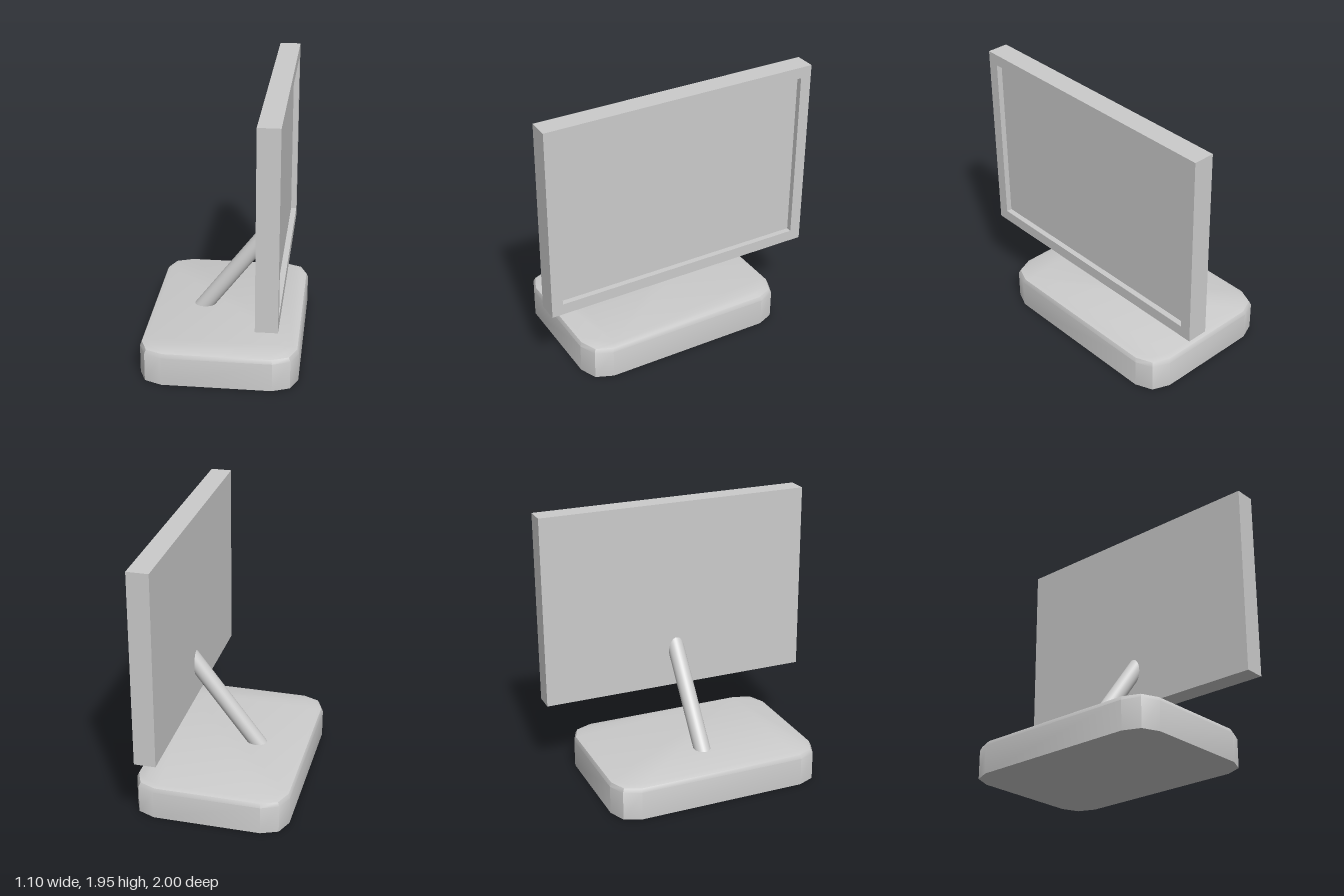
import * as THREE from 'three';
import { toCreasedNormals } from 'three/addons/utils/BufferGeometryUtils.js';

const material = new THREE.MeshStandardMaterial({ color: 0xcccccc });

function addMesh(parent, name, geometry) {
  const mesh = new THREE.Mesh(geometry, material);
  mesh.name = name;
  parent.add(mesh);
  return mesh;
}

// Octagon-like outline of the base with cut corners, shrunk by an inset
function baseRing(inset, y) {
  const corner = [[0.55, 0.61], [0.5, 0.73], [0.38, 0.78]];
  const signs = [[1, 1], [-1, 1], [-1, -1], [1, -1]];
  return signs.flatMap(([sx, sz]) => {
    const points = sx * sz > 0 ? corner : [...corner].reverse();
    return points.map(([x, z]) =>
      new THREE.Vector3(sx * x * (1 - inset / 0.55), y, sz * z * (1 - inset / 0.78)));
  });
}

// Rings joined by side walls and closed with flat caps
function loft(rings) {
  const n = rings[0].length;
  const positions = rings.flat().flatMap((p) => p.toArray());
  const index = [];
  for (let r = 0; r < rings.length - 1; r++) {
    for (let i = 0; i < n; i++) {
      const a = r * n + i, b = r * n + (i + 1) % n;
      index.push(a, a + n, b, b, a + n, b + n);
    }
  }
  const top = (rings.length - 1) * n;
  for (let i = 1; i < n - 1; i++) {
    index.push(0, i, i + 1, top, top + i + 1, top + i);
  }
  const geometry = new THREE.BufferGeometry();
  geometry.setAttribute('position', new THREE.Float32BufferAttribute(positions, 3));
  geometry.setIndex(index);
  return toCreasedNormals(geometry, 0.6);
}

function rectangle(path, x, y0, y1) {
  path.moveTo(-x, y0);
  path.lineTo(x, y0);
  path.lineTo(x, y1);
  path.lineTo(-x, y1);
  path.closePath();
  return path;
}

export function createModel() {
  const model = new THREE.Group();
  model.name = 'monitor';

  // Heavy base with a softened top edge
  addMesh(model, 'base', loft([
    baseRing(0, 0), baseRing(0, 0.205), baseRing(0.012, 0.233), baseRing(0.045, 0.245),
  ]));

  // Slanted round stand, sunk into the base and the back of the screen
  const foot = new THREE.Vector3(-0.245, 0.15, 0);
  const head = new THREE.Vector3(0.33, 0.9, 0);
  const axis = head.clone().sub(foot);
  const stand = addMesh(model, 'stand', new THREE.CylinderGeometry(0.06, 0.06, axis.length(), 32));
  stand.position.copy(foot).add(head).multiplyScalar(0.5);
  stand.quaternion.setFromUnitVectors(new THREE.Vector3(0, 1, 0), axis.normalize());

  // Screen facing +x: a solid panel with a raised bezel in front
  const bottom = 0.565, top = 1.95, back = 0.28, front = 0.43, recess = 0.04, rim = 0.08;
  const screen = new THREE.Group();
  screen.name = 'screen';
  model.add(screen);

  const depth = front - back - recess;
  const panel = addMesh(screen, 'screenPanel', new THREE.BoxGeometry(depth, top - bottom, 2));
  panel.position.set(back + depth / 2, (top + bottom) / 2, 0);

  const outline = rectangle(new THREE.Shape(), 1, bottom, top);
  outline.holes.push(rectangle(new THREE.Path(), 1 - rim, bottom + rim, top - rim));
  const bezel = addMesh(screen, 'bezel',
    new THREE.ExtrudeGeometry(outline, { depth: recess, bevelEnabled: false }));
  bezel.rotation.y = Math.PI / 2;
  bezel.position.x = front - recess;

  return model;
}
